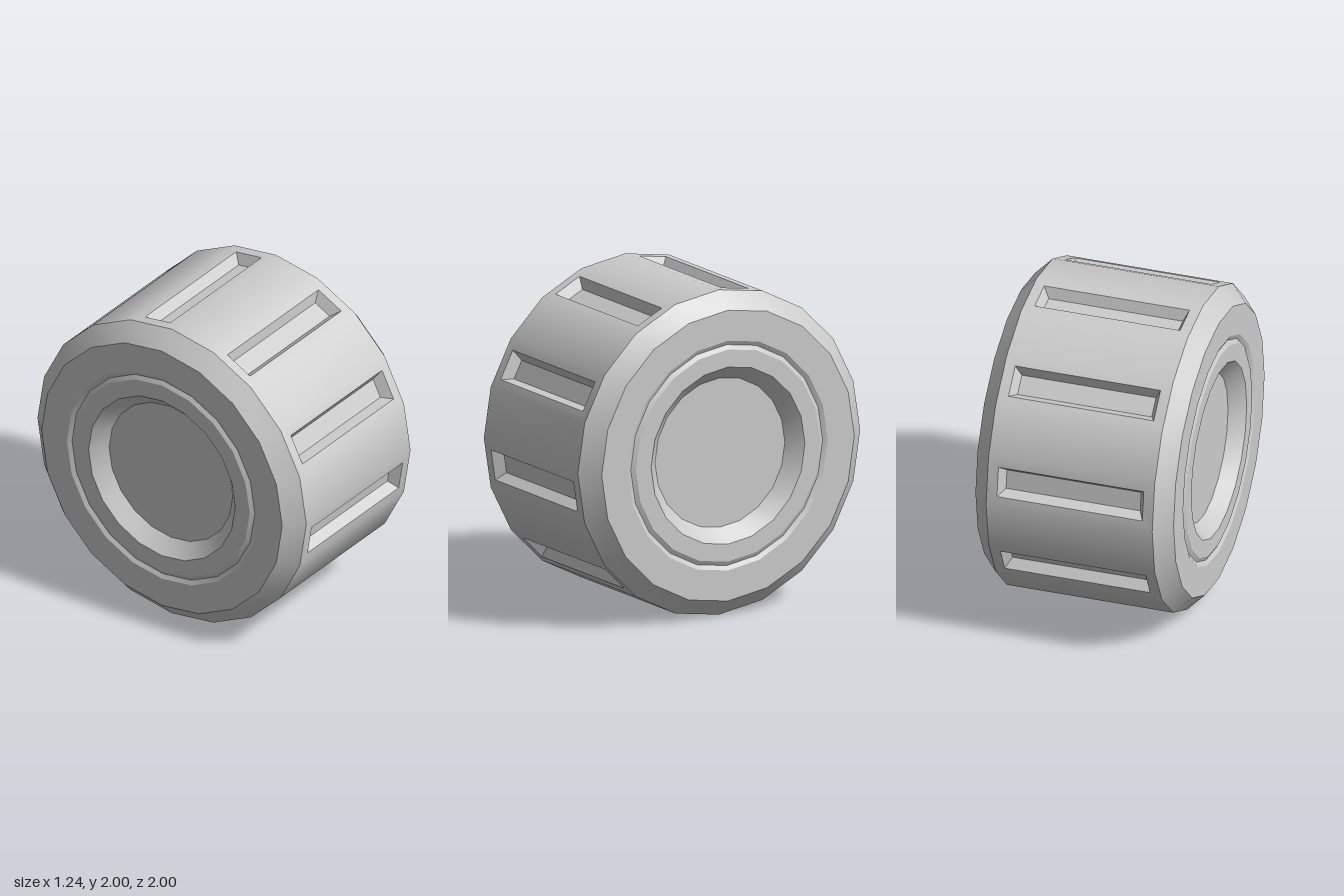
import * as THREE from 'three';
import { toCreasedNormals } from 'three/addons/utils/BufferGeometryUtils.js';

const SIDES = 20;
const STEP = (Math.PI * 2) / SIDES;
const APOTHEM = Math.cos(STEP / 2);
const FACET = Math.sin(STEP / 2); // half length of one tread facet
const TREAD = 0.52;               // half width of the tread
const CREASE = 0.4;

// Four corners of a rectangle on a facet, sunk inwards by depth
function ring(angle, halfX, halfT, depth) {
  const r = APOTHEM - depth;
  const c = Math.cos(angle), s = Math.sin(angle);
  return [[-1, -1], [1, -1], [1, 1], [-1, 1]].map(([u, v]) => {
    const t = v * halfT;
    return [u * halfX, r * s + t * c, r * c - t * s];
  });
}

function quad(out, a, b, c, d) {
  out.push(...a, ...b, ...c, ...a, ...c, ...d);
}

// Tread: every other facet carries a sunken slot with sloped walls
function treadGeometry() {
  const pos = [];
  for (let k = 0; k < SIDES; k++) {
    const angle = (k + 0.5) * STEP;
    const rings = [ring(angle, TREAD, FACET, 0)];
    if (k % 2 === 1) {
      rings.push(ring(angle, 0.455, 0.095, 0));
      rings.push(ring(angle, 0.42, 0.06, 0.064));
    }
    for (let i = 0; i < rings.length - 1; i++) {
      const A = rings[i], B = rings[i + 1];
      for (let j = 0; j < 4; j++) {
        const n = (j + 1) % 4;
        quad(pos, A[j], A[n], B[n], B[j]);
      }
    }
    quad(pos, ...rings[rings.length - 1]);
  }
  const g = new THREE.BufferGeometry();
  g.setAttribute('position', new THREE.Float32BufferAttribute(pos, 3));
  return toCreasedNormals(g, CREASE);
}

// Surface of revolution about the x axis from [radius, x] pairs
function revolve(profile) {
  const g = new THREE.LatheGeometry(profile.map(([r, x]) => new THREE.Vector2(r, x)), SIDES);
  g.rotateZ(-Math.PI / 2);
  return toCreasedNormals(g, CREASE);
}

export function createModel() {
  const model = new THREE.Group();
  model.name = 'wheel';
  const grey = new THREE.MeshStandardMaterial({ color: 0xcccccc });
  grey.name = 'grey';

  const add = (parent, name, geometry) => {
    const mesh = new THREE.Mesh(geometry, grey);
    mesh.name = name;
    parent.add(mesh);
  };

  // The axle sits one radius above the ground
  const wheel = new THREE.Group();
  wheel.name = 'wheelOnAxle';
  wheel.position.y = 1;
  model.add(wheel);

  add(wheel, 'tread', treadGeometry());

  // Bevelled sidewall, ring groove and dished hub, the same on both ends
  const sidewall = revolve([[1, TREAD], [0.895, 0.62], [0.707, 0.62], [0.68, 0.605]]);
  const hubRim = revolve([[0.68, 0.605], [0.653, 0.62], [0.545, 0.62], [0.46, 0.53]]);
  const hubFloor = revolve([[0.46, 0.53], [0, 0.53]]);
  for (const side of ['left', 'right']) {
    const end = new THREE.Group();
    end.name = side + 'Side';
    if (side === 'right') end.rotation.y = Math.PI;
    add(end, side + 'Sidewall', sidewall);
    add(end, side + 'HubRim', hubRim);
    add(end, side + 'HubFloor', hubFloor);
    wheel.add(end);
  }
  return model;
}
